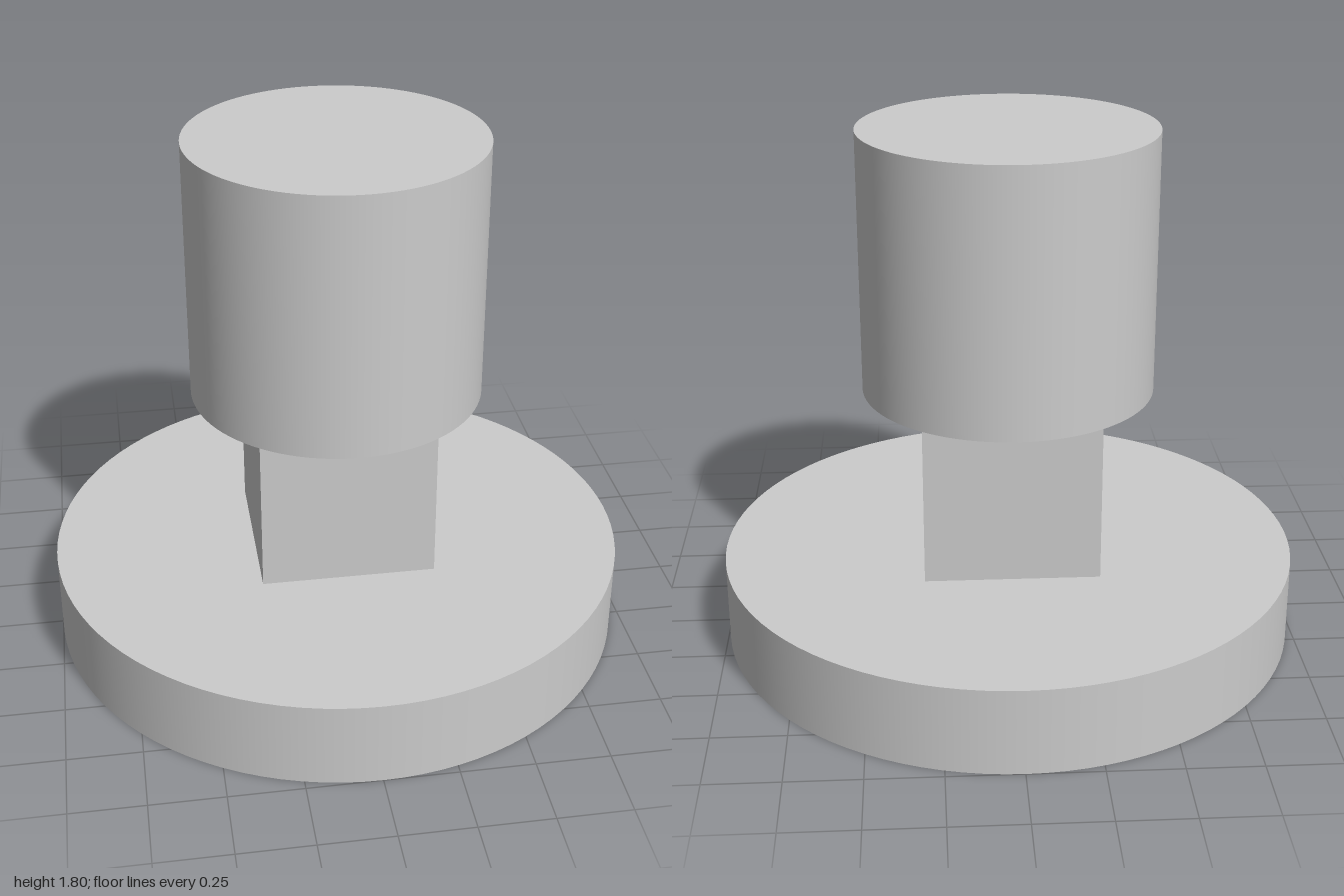
import * as THREE from 'three';

export function createModel() {
  const model = new THREE.Group();
  model.name = 'pedestalKnob';

  const grey = new THREE.MeshStandardMaterial({ color: 0xcccccc });
  grey.name = 'light grey';

  // Adds a part whose underside rests at the given height
  const addPart = (name, geometry, bottom, height) => {
    const mesh = new THREE.Mesh(geometry, grey);
    mesh.name = name;
    mesh.position.y = bottom + height / 2;
    model.add(mesh);
  };

  // Wide round foot
  addPart('base', new THREE.CylinderGeometry(1, 1, 0.3, 96), 0, 0.3);
  // Square neck
  addPart('neck', new THREE.BoxGeometry(0.6, 0.6, 0.6), 0.3, 0.6);
  // Round head
  addPart('head', new THREE.CylinderGeometry(0.5, 0.5, 0.9, 96), 0.9, 0.9);

  return model;
}
